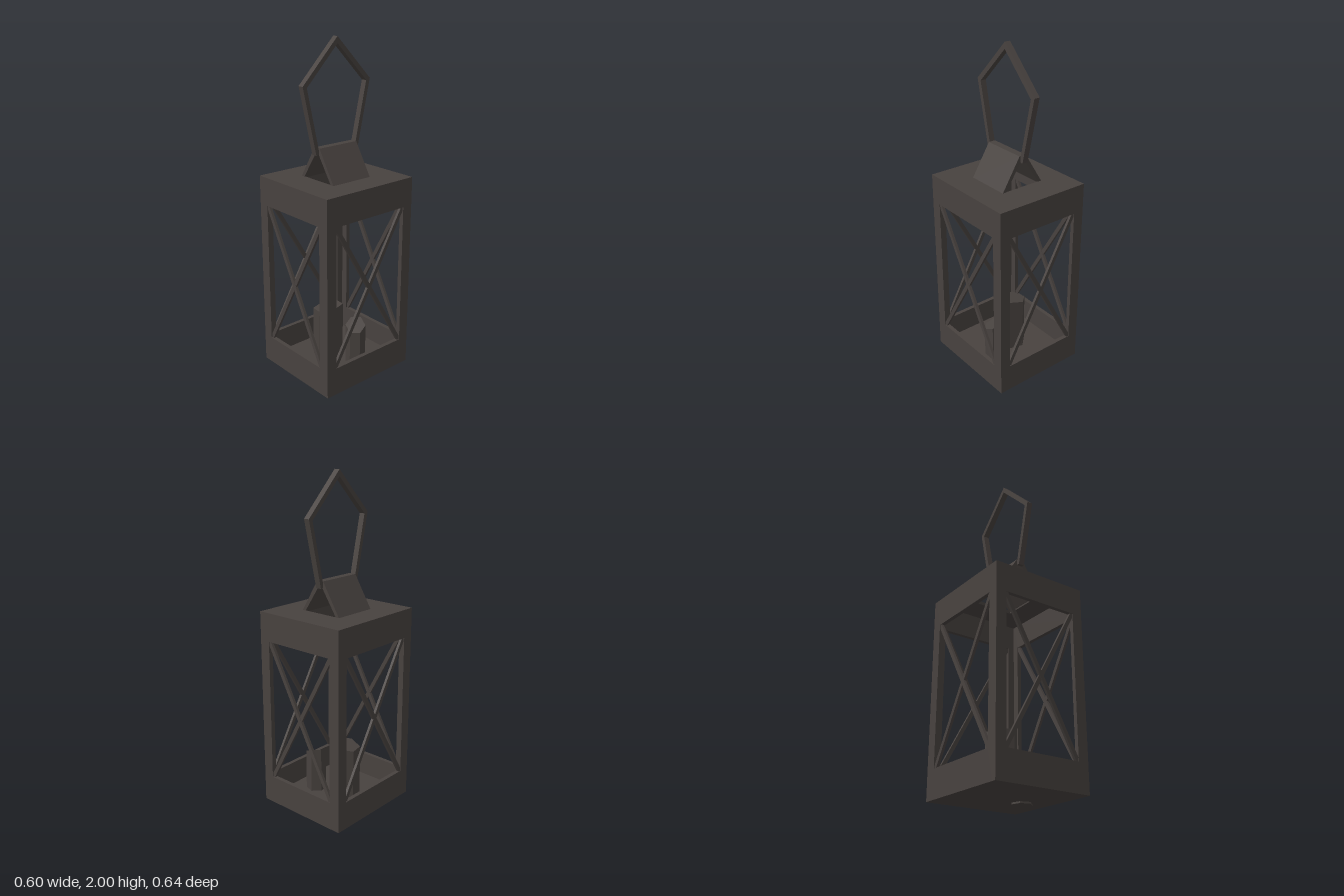
import * as THREE from 'three';

const W = 0.3, D = 0.322;          // half width and half depth of the body
const Y0 = 0.01, Y1 = 1.21;        // body bottom and top
const WIN0 = 0.18, WIN1 = 1.04;    // window opening
const POST = 0.066, T = 0.025;     // post width and wall thickness

const iron = new THREE.MeshStandardMaterial({ color: 0x48423f });
iron.name = 'dark iron';
iron.flatShading = true;

function add(parent, name, geometry) {
  const mesh = new THREE.Mesh(geometry, iron);
  mesh.name = name;
  parent.add(mesh);
  return mesh;
}

const points = (list) => list.map(([x, y]) => new THREE.Vector2(x, y));
const rect = (x0, y0, x1, y1) => points([[x0, y0], [x1, y0], [x1, y1], [x0, y1]]);

function extrude(outline, hole, depth) {
  const shape = new THREE.Shape(outline);
  if (hole) shape.holes.push(new THREE.Path(hole));
  return new THREE.ExtrudeGeometry(shape, { depth, bevelEnabled: false });
}

// One framed wall with crossed braces, facing +z at the given distance
function createWall(name, halfOuter, halfWindow, distance) {
  const wall = new THREE.Group();
  wall.name = name;
  const frame = add(wall, 'windowFrame', extrude(
    rect(-halfOuter, Y0, halfOuter, Y1),
    rect(-halfWindow, WIN0, halfWindow, WIN1), T));
  frame.position.z = distance - T;
  const h = WIN1 - WIN0, w = halfWindow * 2;
  for (const s of [-1, 1]) {
    const brace = add(wall, 'crossBrace', new THREE.BoxGeometry(0.024, Math.hypot(w, h), 0.016));
    brace.position.set(0, (WIN0 + WIN1) / 2, distance - T / 2 + s * 0.001);
    brace.rotation.z = s * Math.atan2(w, h);
  }
  return wall;
}

// Six-sided candle with a slanted top
function createCandle(name, x, z, radius, y0, height, slopeX, slopeZ, turn) {
  const geometry = new THREE.CylinderGeometry(radius, radius, 1, 6);
  geometry.rotateY(turn);
  const p = geometry.attributes.position;
  for (let i = 0; i < p.count; i++) {
    p.setY(i, p.getY(i) > 0 ? height + slopeX * p.getX(i) + slopeZ * p.getZ(i) : y0);
  }
  geometry.translate(x, 0, z);
  geometry.computeVertexNormals();
  const mesh = new THREE.Mesh(geometry, iron);
  mesh.name = name;
  return mesh;
}

export function createModel() {
  const lantern = new THREE.Group();
  lantern.name = 'lantern';

  // Four walls
  ['frontWall', 'leftWall', 'backWall', 'rightWall'].forEach((name, i) => {
    const wall = i % 2
      ? createWall(name, D - T, D - POST, W)
      : createWall(name, W, W - POST, D);
    wall.rotation.y = i * Math.PI / 2;
    lantern.add(wall);
  });

  // Floor and vented ceiling
  const floor = add(lantern, 'floor', new THREE.BoxGeometry(2 * (W - T), 0.025, 2 * (D - T)));
  floor.position.y = Y0 + 0.0125;
  const ceiling = add(lantern, 'ceiling', extrude(
    rect(-W + T, -D + T, W - T, D - T), rect(-0.125, -0.135, 0.125, 0.135), 0.02));
  ceiling.rotation.x = -Math.PI / 2;
  ceiling.position.y = Y1 - 0.02;

  // Open-ended gable over the vent
  const gable = add(lantern, 'ventGable', extrude(points([
    [-0.145, 1.2], [-0.122, 1.2], [0, 1.385], [0.122, 1.2],
    [0.145, 1.2], [0.022, 1.4], [-0.022, 1.4]]), null, 0.276));
  gable.position.z = -0.138;

  // Five-cornered carrying handle, drawn in the z-y plane
  const handle = add(lantern, 'handle', extrude(points([
    [-0.155, 1.36], [-0.245, 1.752], [0, 2], [0.245, 1.752], [0.155, 1.36],
    [0.132, 1.365], [0.217, 1.742], [0, 1.962], [-0.217, 1.742], [-0.132, 1.365]]), null, 0.036));
  handle.rotation.y = -Math.PI / 2;
  handle.position.x = 0.015;

  // Candles
  lantern.add(createCandle('tallCandle', -0.05, 0.02, 0.092, 0.02, 0.368, 0.2, -0.08, 0.25));
  lantern.add(createCandle('shortCandle', 0.135, -0.042, 0.061, 0, 0.288, -0.35, -0.35, 0.25));

  return lantern;
}
